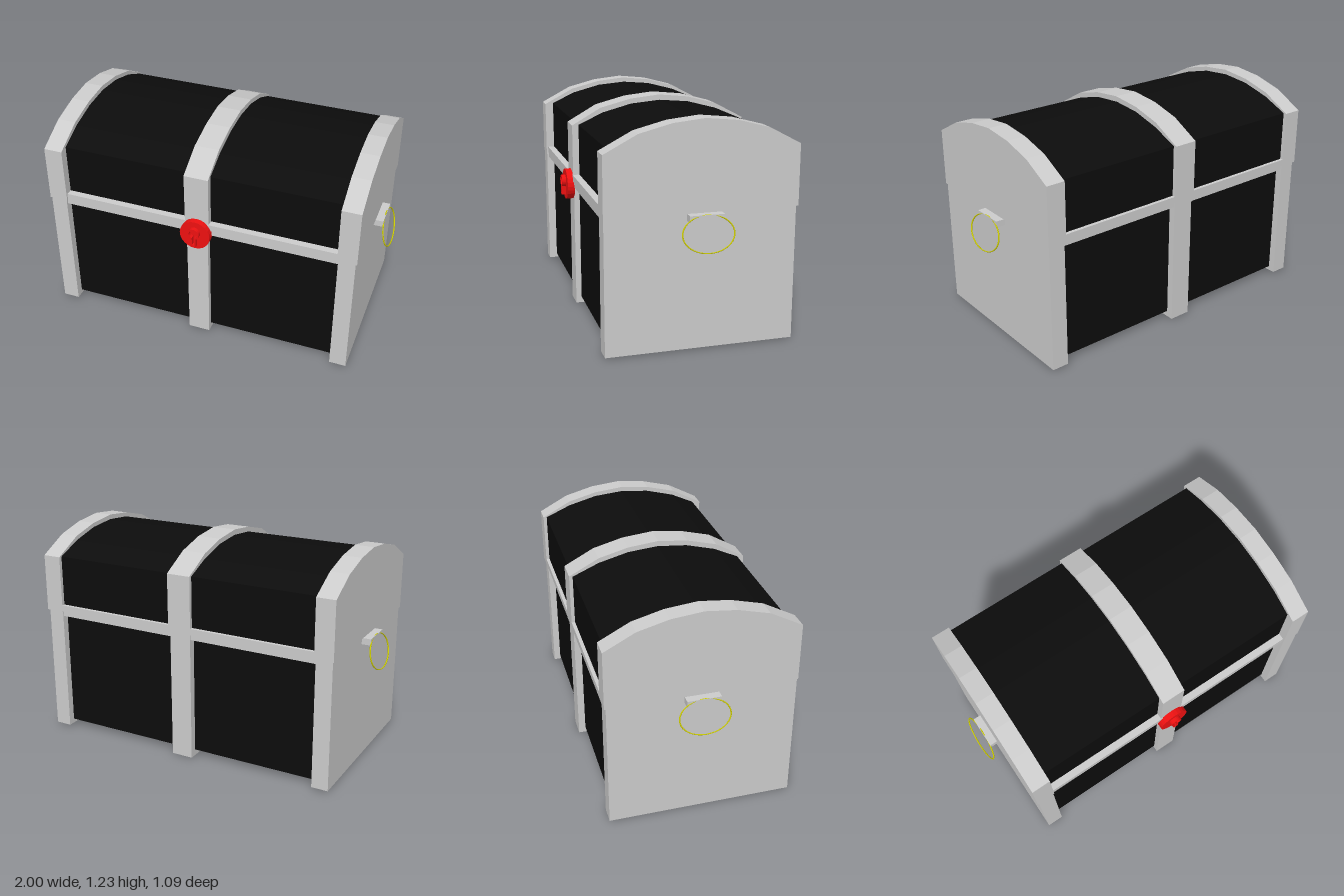
import * as THREE from 'three';

const mat = (color, extra = {}) => new THREE.MeshStandardMaterial({ color, ...extra });

// Lid outlines as [z, y], front to back over the arch
const BAND_ARCH = [[0.5, 1.07], [0.32, 1.165], [0.145, 1.21], [-0.025, 1.228], [-0.2, 1.21], [-0.37, 1.165], [-0.54, 1.075]];
const PANEL_ARCH = [[0.45, 1.075], [0.31, 1.14], [0.14, 1.185], [-0.03, 1.2], [-0.2, 1.185], [-0.37, 1.14], [-0.52, 1.075]];

export function createModel() {
  const group = new THREE.Group();
  group.name = 'treasureChest';
  const grey = mat(0xcccccc, { flatShading: true });
  const dark = mat(0x0c0c0c, { flatShading: true });
  const red = mat(0xee1111, { flatShading: true });
  const yellow = mat(0xcccc00);

  const add = (name, geometry, material, parent = group) => {
    const mesh = new THREE.Mesh(geometry, material);
    mesh.name = name;
    parent.add(mesh);
    return mesh;
  };

  // Box given by its extents along each axis
  const box = (name, material, [x0, x1], [y0, y1], [z0, z1], parent) =>
    add(name, new THREE.BoxGeometry(x1 - x0, y1 - y0, z1 - z0), material, parent)
      .position.set((x0 + x1) / 2, (y0 + y1) / 2, (z0 + z1) / 2);

  // Arched slab: a z/y outline closed at the lid's lower edge, extruded along x
  const archSlab = (name, material, arch, [x0, x1], bottom) => {
    const outline = [[arch[0][0], bottom], ...arch, [arch[arch.length - 1][0], bottom]];
    const shape = new THREE.Shape(outline.map(([z, y]) => new THREE.Vector2(-z, y)));
    const geo = new THREE.ExtrudeGeometry(shape, { depth: x1 - x0, bevelEnabled: false });
    geo.rotateY(Math.PI / 2).translate(x0, 0, 0);
    add(name, geo, material);
  };

  // Dark panels of the base and the lid
  box('basePanels', dark, [-0.82, 0.82], [0.035, 0.73], [-0.49, 0.45]);
  archSlab('lidPanels', dark, PANEL_ARCH, [-0.82, 0.82], 0.76);

  // Rails where the lid meets the base
  box('baseRail', grey, [-0.82, 0.82], [0.715, 0.743], [-0.525, 0.485]);
  box('lidRail', grey, [-0.82, 0.82], [0.747, 0.785], [-0.54, 0.49]);

  // End bands and centre band
  for (const s of [-1, 1]) {
    const span = (a, b) => (s > 0 ? [a, b] : [-b, -a]);
    box('endBandBase', grey, span(0.805, 0.9), [0.01, 0.743], [-0.53, 0.497]);
    archSlab('endBandLid', grey, BAND_ARCH, span(0.8, 0.908), 0.745);
  }
  box('centreBandBase', grey, [-0.063, 0.063], [0, 0.743], [-0.53, 0.482]);
  archSlab('centreBandLid', grey, BAND_ARCH.map(([z, y], i) => [i ? z : 0.487, y + 0.003]), [-0.07, 0.07], 0.745);

  // Lock disc with a raised keyhole rim
  const lock = new THREE.Group();
  lock.name = 'lock';
  lock.position.set(0, 0.72, 0);
  group.add(lock);
  const disc = new THREE.CylinderGeometry(0.088, 0.088, 0.042, 24).rotateX(Math.PI / 2);
  add('lockDisc', disc, red, lock).position.z = 0.501;
  const keyhole = (r, w, foot, Path) => {
    const p = new Path();
    const a = Math.asin(w / r);
    p.moveTo(-w, foot);
    p.lineTo(w, foot);
    p.absarc(0, 0.02, r, -Math.PI / 2 + a, Math.PI * 1.5 - a, false);
    p.closePath();
    return p;
  };
  const rim = keyhole(0.034, 0.015, -0.062, THREE.Shape);
  rim.holes.push(keyhole(0.025, 0.007, -0.053, THREE.Path));
  const rimGeo = new THREE.ExtrudeGeometry(rim, { depth: 0.025, bevelEnabled: false, curveSegments: 10 });
  add('keyholeRim', rimGeo, red, lock).position.z = 0.52;

  // Side handles: a bracket with a thin ring hanging outwards
  for (const s of [-1, 1]) {
    const handle = new THREE.Group();
    handle.name = s > 0 ? 'leftHandle' : 'rightHandle';
    group.add(handle);
    box('handleBracket', grey, s > 0 ? [0.89, 0.952] : [-0.952, -0.89], [0.708, 0.744], [-0.12, 0.065], handle);
    const ringGeo = new THREE.TorusGeometry(0.138, 0.004, 6, 40).scale(1, 0.7, 1).rotateY(Math.PI / 2);
    const ring = add('handleRing', ringGeo, yellow, handle);
    ring.position.set(s * 0.972, 0.65, -0.028);
    ring.rotation.z = s * 0.26;
  }
  return group;
}
